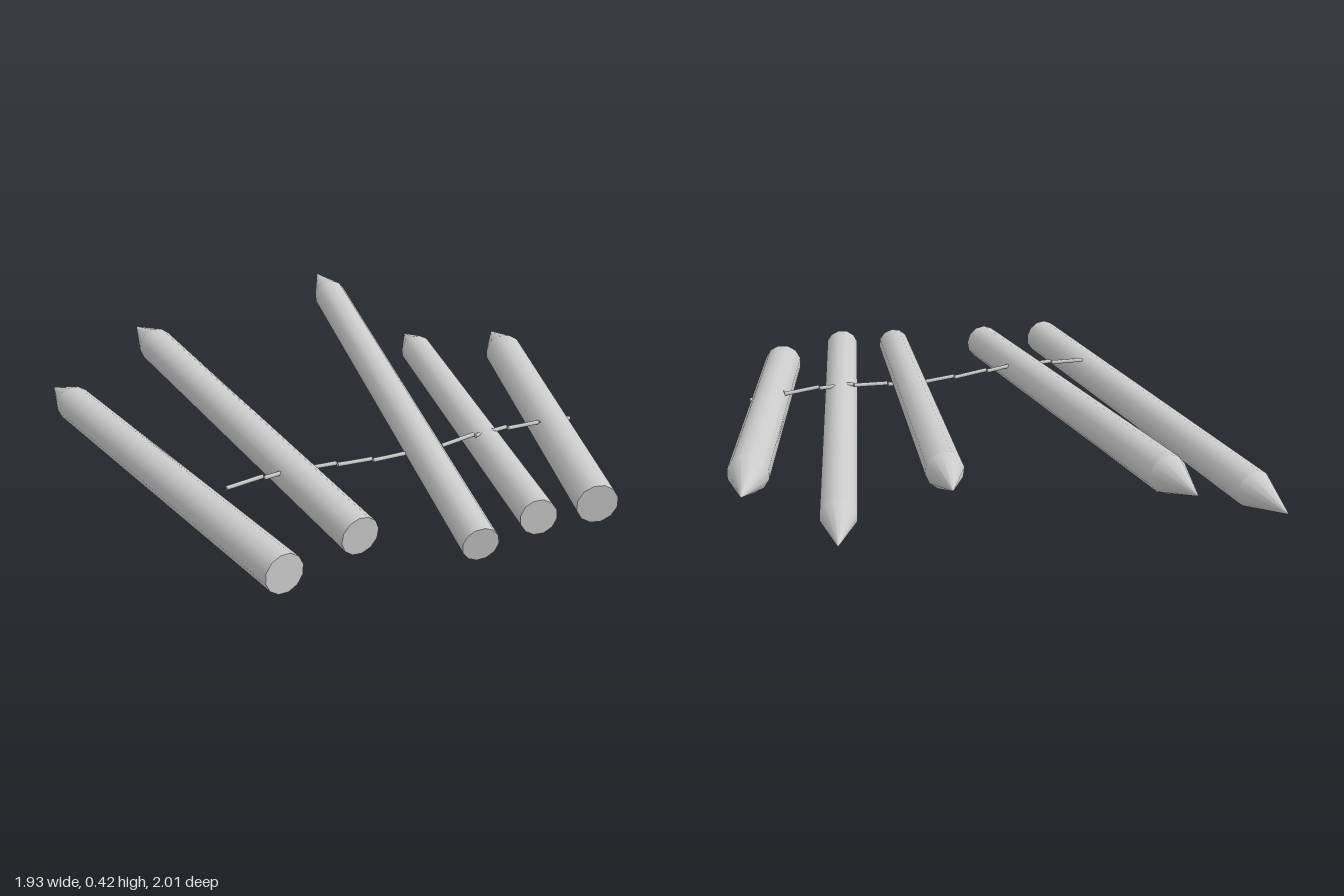
import * as THREE from 'three';

const material = new THREE.MeshStandardMaterial({ color: 0xcccccc });
const UP = new THREE.Vector3(0, 1, 0);

// Place a y-aligned object so it starts at a and points towards b
function aim(object, a, b) {
  object.position.copy(a);
  object.quaternion.setFromUnitVectors(UP, b.clone().sub(a).normalize());
  return object;
}

function mesh(name, geometry) {
  const m = new THREE.Mesh(geometry, material);
  m.name = name;
  return m;
}

// Round log with a sharpened end
function makeStake(base, tip, radius) {
  const SIDES = 12, POINT = 0.205;
  const a = new THREE.Vector3(...base), b = new THREE.Vector3(...tip);
  const shaft = a.distanceTo(b) - POINT;
  const stake = new THREE.Group();
  stake.add(
    mesh('shaft', new THREE.CylinderGeometry(radius, radius, shaft, SIDES, 1).translate(0, shaft / 2, 0)),
    mesh('point', new THREE.ConeGeometry(radius, POINT, SIDES, 1, true).translate(0, shaft + POINT / 2, 0))
  );
  return aim(stake, a, b);
}

export function createModel() {
  const model = new THREE.Group();
  model.name = 'stakeBarrier';

  // Stakes: base centre, tip, radius
  const stakes = [
    [[-0.61, 0.087, 0.897], [-0.935, 0.08, -0.91], 0.074],
    [[-0.307, 0.12, 0.828], [-0.535, 0.26, -1.0], 0.073],
    [[0.065, 0.086, 0.992], [0.312, 0.39, -0.975], 0.067],
    [[0.308, 0.12, 0.963], [0.655, 0.118, -0.765], 0.068],
    [[0.583, 0.086, 0.915], [0.937, 0.19, -0.47], 0.078],
  ];
  stakes.forEach(([base, tip, radius], i) => {
    const stake = makeStake(base, tip, radius);
    stake.name = `stake${i + 1}`;
    model.add(stake);
  });

  // Binding cord: short, slightly skewed lengths laid end to end
  const cord = new THREE.Group();
  cord.name = 'cord';
  const heights = [0.168, 0.178, 0.183, 0.171, 0.159, 0.153, 0.161, 0.174, 0.178, 0.17, 0.16];
  const x0 = -0.63, step = 0.1425;
  for (let i = 0; i < heights.length - 1; i++) {
    const a = new THREE.Vector3(x0 + i * step, heights[i], 0.406);
    const b = new THREE.Vector3(x0 + (i + 1) * step, heights[i + 1], 0.393);
    const length = a.distanceTo(b);
    const piece = mesh('cordPiece', new THREE.CylinderGeometry(0.008, 0.008, length, 6).translate(0, length / 2, 0));
    cord.add(aim(piece, a, b));
  }
  model.add(cord);
  return model;
}
